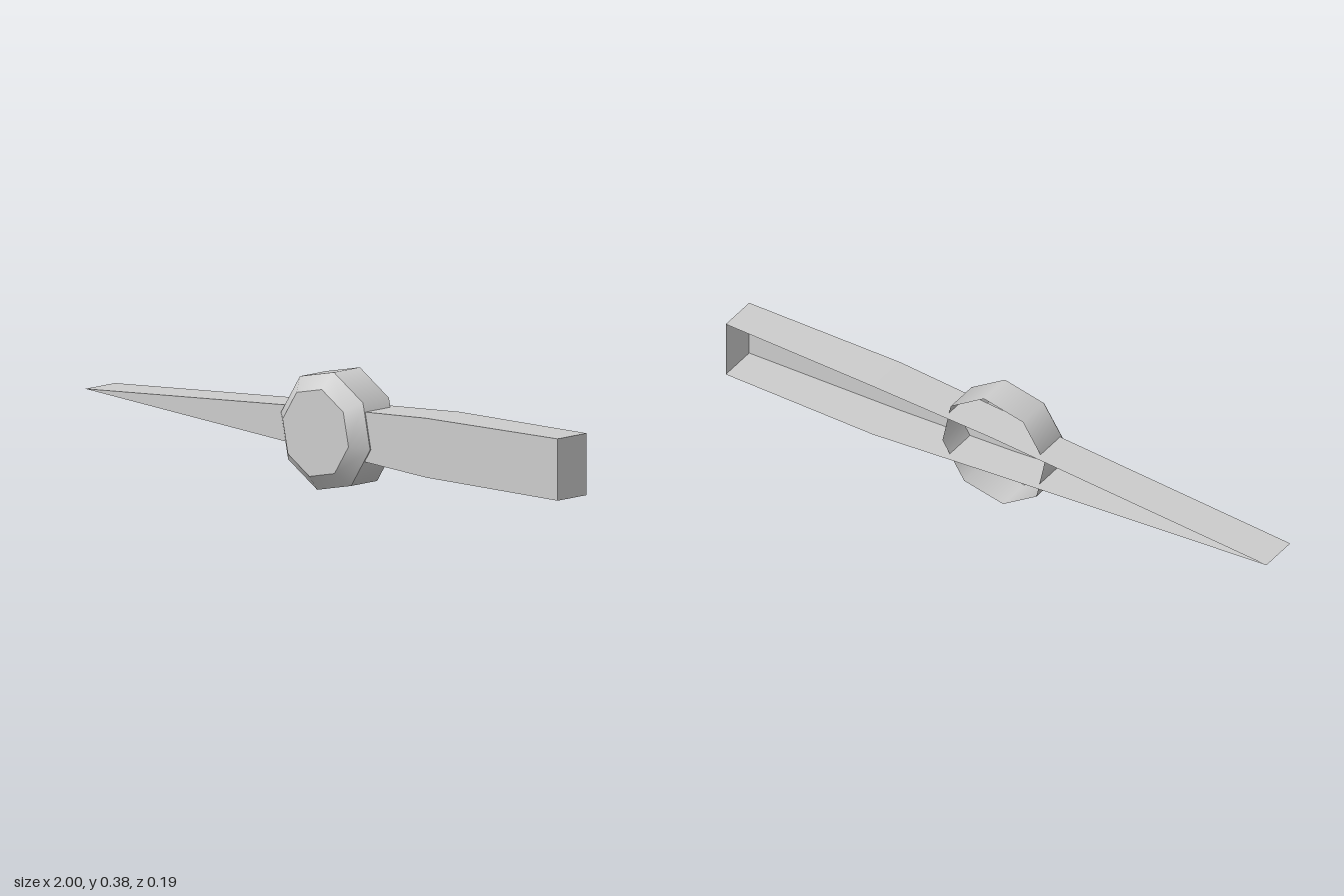
import * as THREE from 'three';

const MID = 0.19; // height of the centre line

// Open-backed channel: each station is [x, half height, back z, front z]
function bladeGeometry(stations) {
  const positions = [];
  const index = [];
  for (const [x, h, back, front] of stations) {
    positions.push(
      x, MID + h, back, x, MID + h, front,
      x, MID - h, front, x, MID - h, back
    );
  }
  for (let i = 0; i < stations.length - 1; i++) {
    for (let j = 0; j < 3; j++) { // top wall, front face, bottom wall
      const a = i * 4 + j, b = a + 1, c = b + 4, d = a + 4;
      index.push(a, b, c, a, c, d);
    }
  }
  // Cap on the wide end
  const e = (stations.length - 1) * 4;
  index.push(e, e + 1, e + 2, e, e + 2, e + 3);

  const indexed = new THREE.BufferGeometry();
  indexed.setAttribute('position', new THREE.Float32BufferAttribute(positions, 3));
  indexed.setIndex(index);
  const flat = indexed.toNonIndexed();
  flat.computeVertexNormals();
  return flat;
}

export function createModel() {
  const group = new THREE.Group();
  const grey = new THREE.MeshStandardMaterial({ color: 0xcccccc, side: THREE.DoubleSide });
  grey.name = 'light grey';

  const add = (parent, name, geometry) => {
    const mesh = new THREE.Mesh(geometry, grey);
    mesh.name = name;
    parent.add(mesh);
    return mesh;
  };

  // Tapered hand, pointed at -x
  add(group, 'blade', bladeGeometry([
    [-1, 0, -0.088, 0.045],
    [0.02, 0.069, -0.088, 0.045],
    [0.45, 0.093, -0.097, 0.053],
    [1, 0.097, -0.086, 0.045],
  ]));

  // Eight-sided hollow hub with a chamfered front
  const hub = new THREE.Group();
  hub.name = 'hub';
  hub.position.set(0.024, 0.1885, 0);
  group.add(hub);

  const turn = THREE.MathUtils.degToRad(34.4);
  const ring = (r0, z0, r1, z1) => new THREE.LatheGeometry(
    [new THREE.Vector2(r0, z0), new THREE.Vector2(r1, z1)], 8, turn
  ).rotateX(Math.PI / 2);

  add(hub, 'hubWall', ring(0.192, -0.065, 0.192, 0.052));
  add(hub, 'hubChamfer', ring(0.192, 0.052, 0.142, 0.097));
  add(hub, 'hubFace', new THREE.CircleGeometry(0.142, 8, turn)).position.z = 0.097;

  return group;
}
